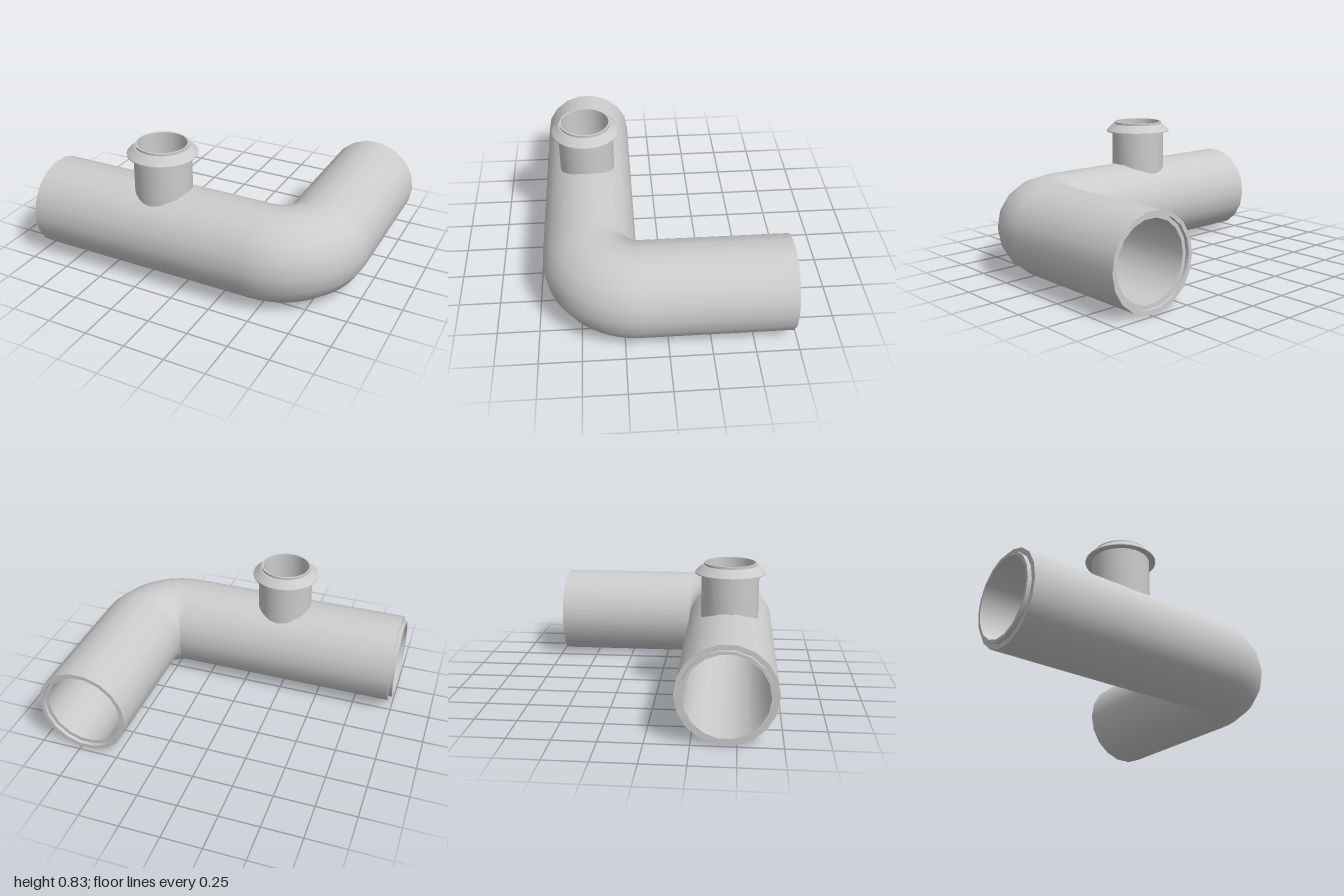
import * as THREE from 'three';
import { toCreasedNormals } from 'three/addons/utils/BufferGeometryUtils.js';

const DEG = Math.PI / 180;
const SIDES = 18;
const R = 0.282, RI = 0.235;        // pipe outer and bore radius
const CY = 0.278, CZ = 0.44;        // axis of the long leg
const BEND_X = 0.436, BEND_Z = CZ - R; // pivot of the elbow
const RX = -0.207;                  // riser axis
const HOLE = 0.22;                  // half length of the patch round the riser
const material = new THREE.MeshStandardMaterial({ color: 0xcccccc });

// Grid of points with given normals; fn(i, j) returns [position, normal]
function gridGeometry(ni, nj, fn, inward, skip = () => false) {
  const pos = [], nor = [], index = [];
  for (let i = 0; i <= ni; i++) {
    for (let j = 0; j <= nj; j++) {
      const [p, n] = fn(i, j);
      pos.push(...p);
      nor.push(...n.map((v) => (inward ? -v : v)));
    }
  }
  for (let i = 0; i < ni; i++) {
    for (let j = 0; j < nj; j++) {
      if (skip(i, j)) continue;
      const a = i * (nj + 1) + j, b = a + nj + 1, c = a + 1, d = b + 1;
      if (inward) index.push(a, b, c, c, b, d);
      else index.push(a, c, b, c, d, b);
    }
  }
  const g = new THREE.BufferGeometry();
  g.setAttribute('position', new THREE.Float32BufferAttribute(pos, 3));
  g.setAttribute('normal', new THREE.Float32BufferAttribute(nor, 3));
  g.setIndex(index);
  return g;
}

// Height of the many-sided pipe above its axis at sideways offset z
function pipeHeight(r, z) {
  const apothem = r * Math.cos(10 * DEG);
  return Math.min(...[0, 20, 40].map((f) =>
    (apothem - Math.abs(z) * Math.sin(f * DEG)) / Math.cos(f * DEG)));
}

// Pipe wall swept along both legs and the elbow, open below the riser
function wallGeometry(r, startX, endZ, inward) {
  const stations = [startX, RX - HOLE, RX + HOLE].map((x) => ({ x, z: CZ, t: 0 }));
  const steps = 16;
  for (let k = 0; k <= steps; k++) {
    const t = (k / steps) * Math.PI / 2;
    stations.push({ x: BEND_X + R * Math.sin(t), z: BEND_Z + R * Math.cos(t), t });
  }
  stations.push({ x: BEND_X + R, z: endZ, t: Math.PI / 2 });
  return gridGeometry(stations.length - 1, SIDES, (i, j) => {
    const s = stations[i], a = (-50 + 20 * j) * DEG;
    const n = [Math.sin(a) * Math.sin(s.t), Math.cos(a), Math.sin(a) * Math.cos(s.t)];
    return [[s.x + r * n[0], CY + r * n[1], s.z + r * n[2]], n];
  }, inward, (i, j) => i === 1 && j < 5);
}

// Patch of wall between the round branch hole and the surrounding rectangle
function patchGeometry(r, holeR, inward) {
  const rings = 5, around = 72, halfZ = r * Math.sin(50 * DEG);
  return gridGeometry(rings, around, (i, j) => {
    const a = (j / around) * Math.PI * 2, c = Math.cos(a), s = Math.sin(a);
    const m = Math.max(Math.abs(c), Math.abs(s)), k = i / rings;
    const x = THREE.MathUtils.lerp(holeR * c, HOLE * c / m, k);
    const z = THREE.MathUtils.lerp(holeR * s, halfZ * s / m, k);
    return [[RX + x, CY + pipeHeight(r, z), CZ + z], [0, Math.sqrt(1 - (z / r) ** 2), z / r]];
  }, inward);
}

function lathe(profile, segments, phase = 0) {
  return new THREE.LatheGeometry(profile.map(([x, y]) => new THREE.Vector2(x, y)), segments, phase);
}

export function createModel() {
  const group = new THREE.Group();
  const add = (name, geometry) => {
    const mesh = new THREE.Mesh(geometry, material);
    mesh.name = name;
    group.add(mesh);
    return mesh;
  };

  // Elbow pipe, outside and bore
  add('pipeOuterWall', wallGeometry(R, -0.976, -0.722, false));
  add('pipeBore', wallGeometry(RI, -1, -0.698, true));
  add('branchJointOuter', patchGeometry(R, 0.172, false));
  add('branchJointInner', patchGeometry(RI, 0.147, true));

  // Stepped spigot on the long leg
  const spigot = lathe([[R, 0], [0.253, 0], [0.253, 0.024], [RI, 0.024]], SIDES);
  spigot.rotateZ(Math.PI / 2);
  add('spigotLip', toCreasedNormals(spigot, 0.6)).position.set(-0.976, CY, CZ);

  // Recessed socket on the short leg
  const socket = lathe([[R, 0], [0.258, 0], [0.258, -0.024], [RI, -0.024]], SIDES, 10 * DEG);
  socket.rotateX(-Math.PI / 2);
  add('socketRim', toCreasedNormals(socket, 0.6)).position.set(BEND_X + R, CY, -0.722);

  // Riser with flared collar, its foot trimmed to the pipe surface
  const profile = [
    [0.172, 0], [0.172, 0.77], [0.21, 0.77], [0.21, 0.776], [0.165, 0.82],
    [0.158, 0.82], [0.158, 0.834], [0.147, 0.834], [0.147, 0],
  ];
  const riser = lathe(profile, 36);
  const p = riser.attributes.position;
  for (let i = 0; i < p.count; i++) {
    const j = i % profile.length;
    if (j === 0) p.setY(i, CY + pipeHeight(R, p.getZ(i)));
    if (j === profile.length - 1) p.setY(i, CY + pipeHeight(RI, p.getZ(i)));
  }
  add('riserWithCollar', toCreasedNormals(riser, 0.6)).position.set(RX, 0, CZ);

  return group;
}
